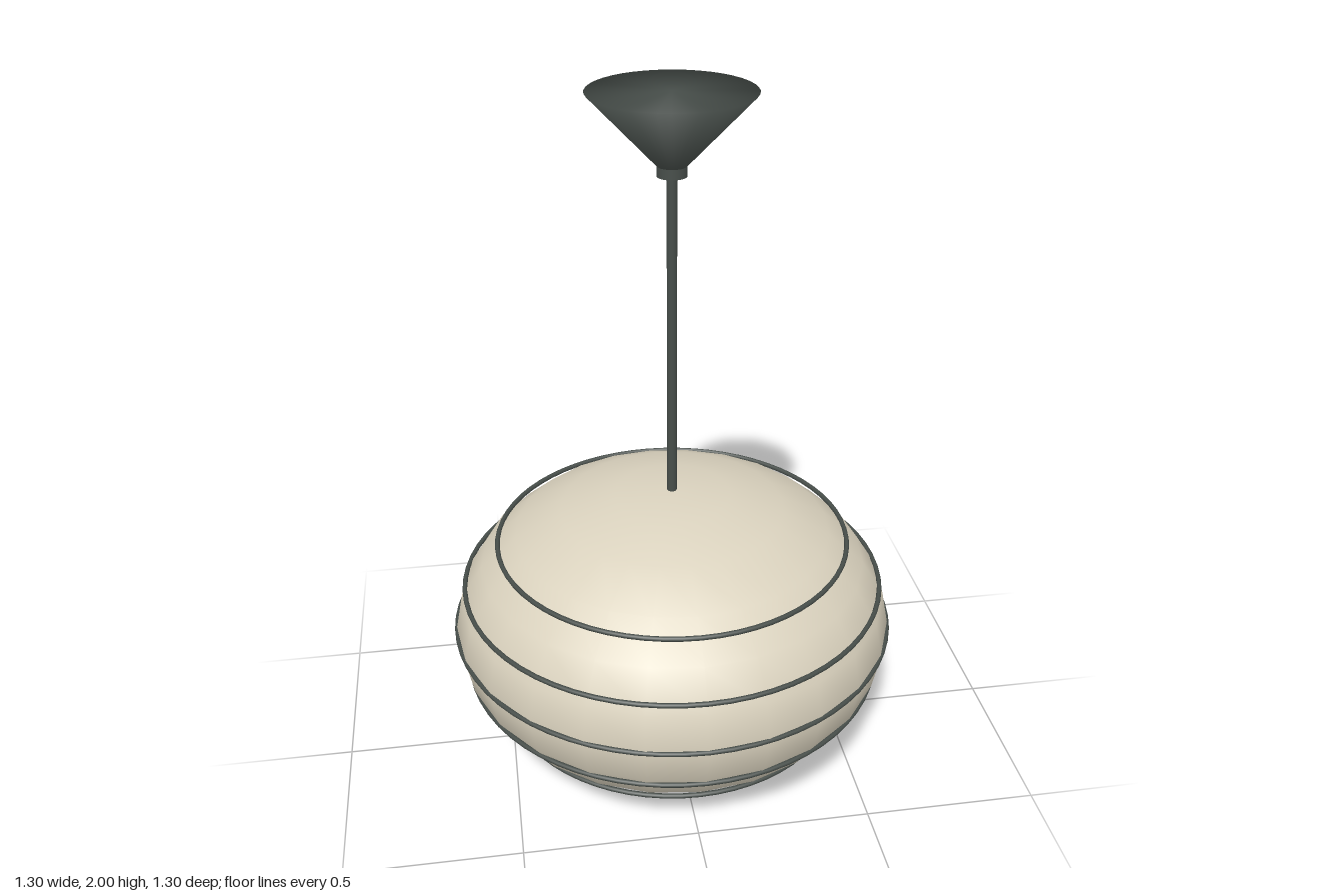
import * as THREE from 'three';

export function createModel() {
  const lamp = new THREE.Group();
  lamp.name = 'pendantLamp';
  const cream = new THREE.MeshStandardMaterial({ color: 0xdad2be });
  cream.name = 'cream shade';
  const dark = new THREE.MeshStandardMaterial({ color: 0x474e4a });
  dark.name = 'dark metal';

  const add = (name, geometry, material, y = 0) => {
    const mesh = new THREE.Mesh(geometry, material);
    mesh.name = name;
    mesh.position.y = y;
    lamp.add(mesh);
    return mesh;
  };

  // Flattened globe shade
  const centreY = 0.429;
  const globe = new THREE.SphereGeometry(0.647, 24, 12).scale(1, 0.427 / 0.647, 1);
  add('shade', globe, cream, centreY);

  // Five thin hoops around the shade, mirrored about its middle
  const radii = [0.645, 0.613, 0.51];
  for (let i = -2; i <= 2; i++) {
    const hoop = new THREE.TorusGeometry(radii[Math.abs(i)], 0.007, 8, 64).rotateX(Math.PI / 2);
    add(`hoop${i + 3}`, hoop, dark, centreY + 0.001 + i * 0.136);
  }

  // Hanging rod
  add('rod', new THREE.CylinderGeometry(0.014, 0.014, 0.97, 16), dark, 1.315);

  // Collar and ceiling canopy, with soft shading over the canopy rim
  add('collar', new THREE.CylinderGeometry(0.04, 0.04, 0.03, 24), dark, 1.798);
  const profile = [[0.035, 1.805], [0.22, 2], [0, 2]].map(([x, y]) => new THREE.Vector2(x, y));
  add('canopy', new THREE.LatheGeometry(profile, 40), dark);

  return lamp;
}
